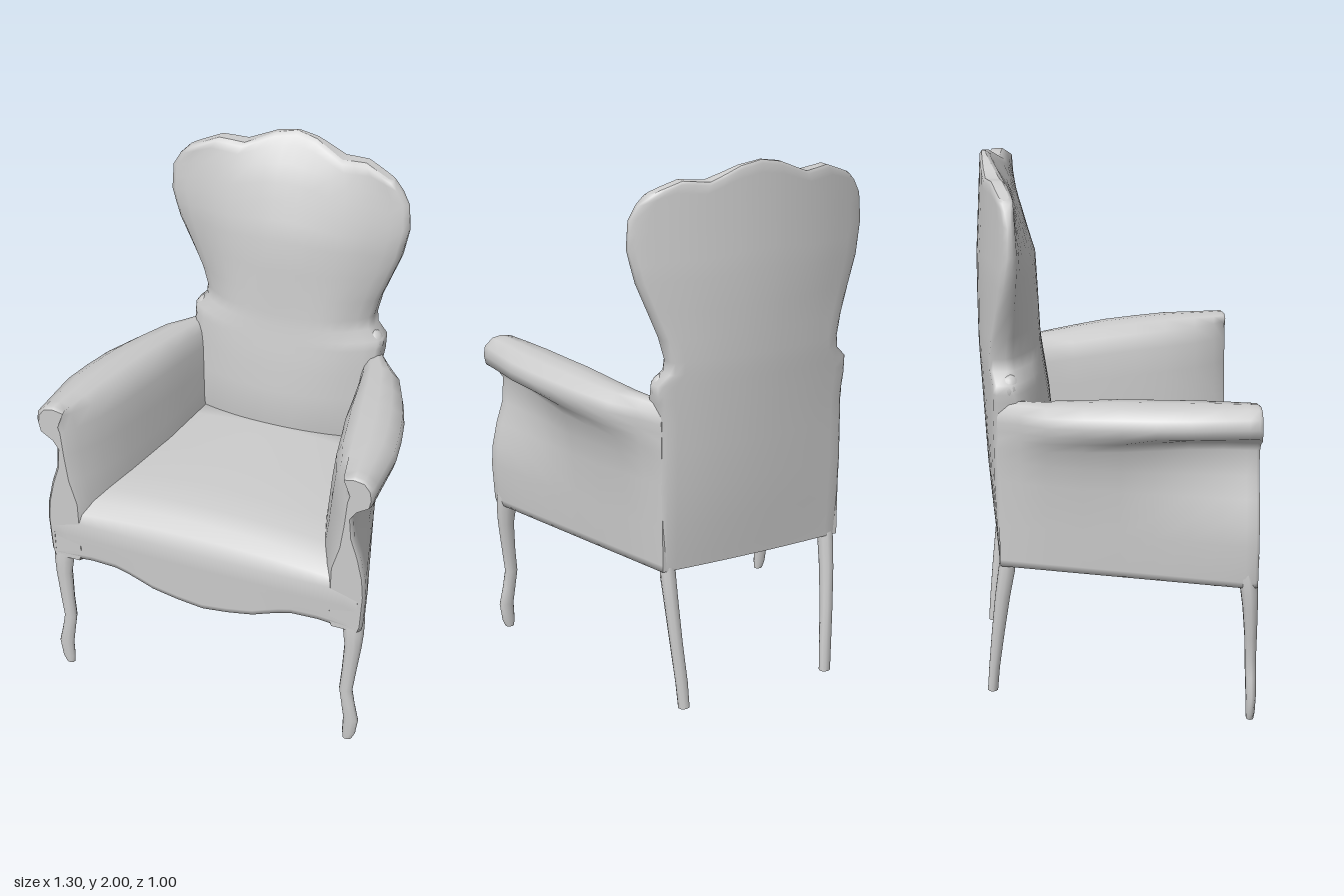
import * as THREE from 'three';

const material = new THREE.MeshStandardMaterial({ color: 0xcccccc, roughness: 0.8 });

// Piecewise linear lookup through [key, value] pairs
function lookup(table) {
  return (t) => {
    if (t <= table[0][0]) return table[0][1];
    for (let i = 1; i < table.length; i++) {
      const [a, va] = table[i - 1], [b, vb] = table[i];
      if (t <= b) return va + ((vb - va) * (t - a)) / (b - a);
    }
    return table[table.length - 1][1];
  };
}

// Closed skin over rings of [x, y, z]; caps join ring point i with n-1-i
function loft(name, rings) {
  const n = rings[0].length, pos = [];
  const index = [];
  rings.forEach((r) => r.forEach((p) => pos.push(...p)));
  const quad = (a, b, c, d) => index.push(a, b, c, a, c, d);
  for (let r = 0; r + 1 < rings.length; r++) {
    for (let i = 0; i < n; i++) {
      const j = (i + 1) % n;
      quad(r * n + i, r * n + j, (r + 1) * n + j, (r + 1) * n + i);
    }
  }
  [rings[0], rings[rings.length - 1]].forEach((ring, end) => {
    const base = pos.length / 3;
    ring.forEach((p) => pos.push(...p));
    for (let i = 0; i + 1 < n - 1 - i; i++) {
      const q = [i, i + 1, n - 2 - i, n - 1 - i].map((k) => base + k);
      if (end === 0) q.reverse();
      quad(...q);
    }
  });
  // Turn the faces outward if the enclosed volume is negative
  const v = (k) => new THREE.Vector3().fromArray(pos, index[k] * 3);
  let volume = 0;
  for (let k = 0; k < index.length; k += 3) volume += v(k).dot(v(k + 1).cross(v(k + 2)));
  if (volume < 0) index.reverse();
  const g = new THREE.BufferGeometry();
  g.setAttribute('position', new THREE.Float32BufferAttribute(pos, 3));
  g.setIndex(index);
  g.computeVertexNormals();
  const mesh = new THREE.Mesh(g, material);
  mesh.name = name;
  return mesh;
}

// Waisted backrest with a scalloped crest
function makeBackrest() {
  const width = lookup([[0.54, 0.368], [0.85, 0.372], [1.1, 0.37], [1.17, 0.383], [1.235, 0.386], [1.275, 0.345],
    [1.32, 0.342], [1.4, 0.362], [1.5, 0.402], [1.6, 0.442], [1.72, 0.47], [1.82, 0.464], [1.87, 0.435], [1.905, 0.4]]);
  const crest = lookup([[0, 2], [0.08, 1.985], [0.19, 1.938], [0.29, 1.948], [0.4, 1.905]]);
  const frontMiddle = lookup([[0.54, -0.3], [0.85, -0.212], [1.1, -0.235], [1.3, -0.265], [1.62, -0.28],
    [1.75, -0.32], [1.88, -0.37], [1.96, -0.425], [2, -0.445]]);
  const frontEdge = lookup([[0.54, -0.37], [0.85, -0.3], [1.1, -0.33], [1.3, -0.385], [1.5, -0.37], [1.7, -0.352], [1.95, -0.36]]);
  const fullness = lookup([[0.85, 2.2], [1.1, 2.8], [1.3, 3.2], [1.5, 2], [1.65, 1.6]]);
  const rearMiddle = lookup([[0.54, -0.44], [0.8, -0.468], [1.3, -0.495], [1.6, -0.497], [2, -0.475]]);
  const rearBend = lookup([[0.54, 0.08], [1, 0.28], [1.5, 0.45]]);
  const across = [-1, -0.96, -0.86, -0.72, -0.6, -0.48, -0.34, -0.2, -0.1, 0, 0.1, 0.2, 0.34, 0.48, 0.6, 0.72, 0.86, 0.96, 1];
  const heights = [0.535, 0.58, 0.7, 0.85, 1, 1.1, 1.17, 1.2, 1.235, 1.275, 1.32, 1.4, 1.5, 1.6, 1.66, 1.72, 1.77, 1.82, 1.87, 1.895, 1.905];
  const rings = heights.map((h, row) => {
    const inset = row === heights.length - 1 ? 0.012 : 0;
    const point = (u, side) => {
      const x = u * width(h);
      const s = Math.max(0, (h - 1.5) / 0.405);
      const y = h <= 1.5 ? h : 1.5 + s * (crest(Math.abs(u) * 0.4) - 1.5);
      const front = frontMiddle(y) + (frontEdge(y) - frontMiddle(y)) * Math.abs(u) ** fullness(y);
      const rear = rearMiddle(y) + rearBend(y) * x * x;
      const rim = Math.abs(u) === 1 ? 0.012 : 0;
      return [x, y, side > 0 ? Math.max(front, rear + 0.03) - rim - inset : rear + rim * 0.7 + inset * 0.6];
    };
    return [...across.map((u) => point(u, 1)), ...across.slice().reverse().map((u) => point(u, -1))];
  });
  return loft('backrest', rings);
}

// Seat with rounded front edge and scalloped apron
function makeSeat() {
  const half = lookup([[-0.43, 0.35], [0, 0.475], [0.24, 0.545], [0.46, 0.605]]);
  const hem = lookup([[0, 0.456], [0.1, 0.468], [0.2, 0.487], [0.27, 0.515], [0.34, 0.54], [0.45, 0.543], [0.52, 0.535], [0.6, 0.52]]);
  const rings = [];
  for (let i = 0; i <= 24; i++) {
    const u = i / 12 - 1, b = hem(Math.abs(u) * 0.605);
    const drop = 0.035 * u * u, bow = 0.012 * u * u;
    const profile = [[-0.43, 0.85 - drop], [-0.2, 0.85 - drop], [0.05, 0.848 - drop], [0.25, 0.843 - drop], [0.36, 0.83 - drop],
      [0.43, 0.808 - drop], [0.475, 0.77 - drop], [0.495 - bow, 0.71], [0.502 - bow, 0.65], [0.492 - bow, 0.59],
      [0.499 - bow, b + 0.03], [0.49 - bow, b + 0.005], [0.465, b], [0.43, b * 0.35 + 0.351], [0.27, 0.542],
      [0.1, 0.542], [-0.2, 0.542], [-0.43, 0.542]];
    rings.push(profile.map(([z, y]) => [u * half(z), y, z]));
  }
  return loft('seat', rings);
}

// Upholstered arm: rolled section swept from front to back
function makeArm(side) {
  const inner = lookup([[-0.43, 0.29], [-0.28, 0.305], [0, 0.34], [0.28, 0.4], [0.49, 0.47]]);
  const outer = lookup([[-0.43, 0.374], [-0.35, 0.43], [-0.26, 0.5], [-0.13, 0.555], [0, 0.6], [0.12, 0.628], [0.24, 0.648], [0.49, 0.65]]);
  const top = lookup([[-0.43, 1.165], [-0.3, 1.18], [0, 1.205], [0.25, 1.215], [0.49, 1.215]]);
  const hem = lookup([[-0.43, 0.37], [0.46, 0.617]]);
  // How strongly the curved front outline shows along the arm
  const frontness = lookup([[-0.43, 0], [0, 0.2], [0.3, 0.75], [0.45, 1]]);
  // Inner face curves outward to a slim front
  const flare = lookup([[0.25, 0], [0.36, 0.01], [0.44, 0.032], [0.475, 0.052], [0.487, 0.062]]);
  // Outer wall: front outline offset, height, share of the overhang further back
  const wall = [[0, 0.535, 0], [0.008, 0.56, 0.02], [0.016, 0.7, 0.08], [0.01, 0.78, 0.15], [-0.01, 0.87, 0.27],
    [-0.036, 0.95, 0.42], [-0.043, 1.05, 0.7], [-0.02, 1.085, 0.85]];
  // Roll and inner face: fraction from inner to outer face, height
  const roll = [[0.96, 1.115], [1, 1.15], [0.97, 1.185], [0.8, 1.213], [0.6, 1.22], [0.38, 1.212]];
  const inside = [[0.22, 1.18, 1], [0.13, 1.12, 1], [0.08, 1.02, 1], [0.04, 0.9, 0.9], [0, 0.8, 0.55],
    [0, 0.66, 0.5], [0, 0.56, 0.5], [0.05, 0.535, 0.5]];
  const depths = [-0.43, -0.35, -0.26, -0.13, 0, 0.12, 0.24, 0.36, 0.44, 0.475, 0.487];
  const rings = depths.map((z) => {
    const a = inner(z), b = outer(z), f = frontness(z);
    const nose = z > 0.48 ? 0.01 : 0;
    const overhang = Math.max(0, b - hem(z));
    return [
      ...wall.map(([offset, y, share]) => [hem(z) + offset * f + overhang * share * (1 - f) - nose, y]),
      ...roll.map(([t, y]) => [a + (b - a) * t - (t > 0.9 ? nose : 0), y]),
      ...inside.map(([t, y, w]) => [a + (b - a) * t + flare(z) * w, y]),
    ].map(([x, y]) => [side * x, y > 1 ? y + top(z) - 1.22 - nose : y, z]);
  });
  return loft(side > 0 ? 'leftArm' : 'rightArm', rings);
}

// Curved leg: stations of [y, x, z, radiusX, radiusZ]
function makeLeg(name, side, stations) {
  return loft(name, stations.map(([y, x, z, rx, rz]) => Array.from({ length: 10 }, (_, i) => {
    const a = (i / 10) * Math.PI * 2;
    return [side * (x + rx * Math.cos(a)), y, z + rz * Math.sin(a)];
  })));
}

export function createModel() {
  const chair = new THREE.Group();
  chair.name = 'armchair';
  chair.add(makeBackrest(), makeSeat());
  const frontLeg = [[0, 0.582, 0.474, 0.018, 0.014], [0.03, 0.587, 0.474, 0.026, 0.017], [0.1, 0.593, 0.474, 0.03, 0.019],
    [0.17, 0.58, 0.473, 0.027, 0.02], [0.24, 0.569, 0.472, 0.026, 0.021], [0.33, 0.578, 0.47, 0.028, 0.023],
    [0.45, 0.588, 0.464, 0.033, 0.028], [0.51, 0.586, 0.46, 0.04, 0.032], [0.57, 0.582, 0.452, 0.044, 0.034], [0.64, 0.575, 0.445, 0.04, 0.03]];
  const rearLeg = [[0, 0.307, -0.468, 0.022, 0.02], [0.1, 0.312, -0.46, 0.024, 0.021], [0.25, 0.324, -0.443, 0.024, 0.025],
    [0.4, 0.333, -0.424, 0.026, 0.029], [0.5, 0.337, -0.408, 0.028, 0.032], [0.58, 0.337, -0.398, 0.028, 0.03]];
  for (const side of [1, -1]) {
    const label = side > 0 ? 'left' : 'right';
    chair.add(makeArm(side), makeLeg(label + 'FrontLeg', side, frontLeg), makeLeg(label + 'RearLeg', side, rearLeg));
    // Small scroll where the arm meets the back
    const scroll = new THREE.Mesh(new THREE.SphereGeometry(1, 16, 12), material);
    scroll.name = label + 'Scroll';
    scroll.scale.set(0.045, 0.052, 0.04);
    scroll.position.set(side * 0.342, 1.215, -0.385);
    chair.add(scroll);
  }
  return chair;
}
